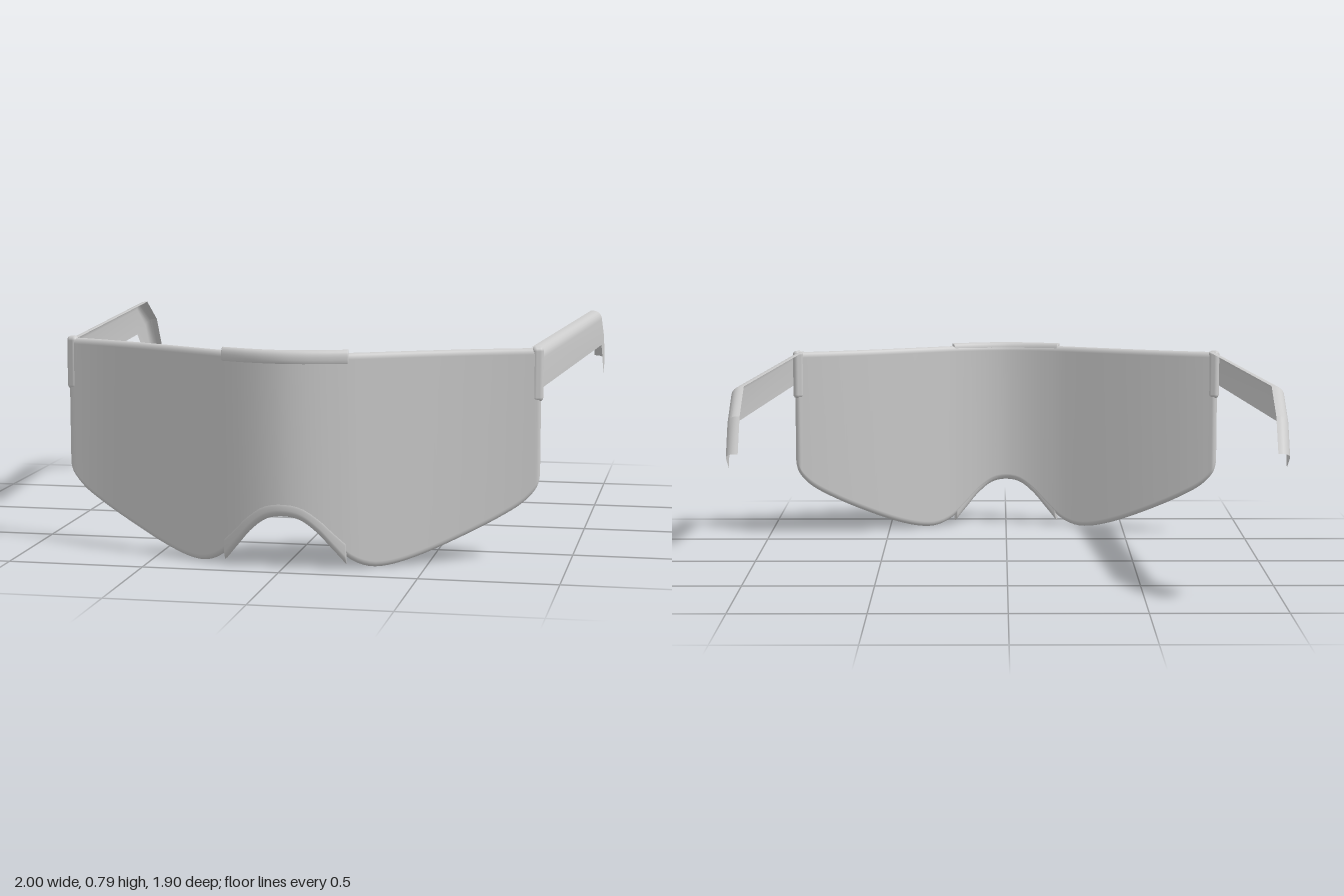
import * as THREE from 'three';
import { toCreasedNormals } from 'three/addons/utils/BufferGeometryUtils.js';
import { RoundedBoxGeometry } from 'three/addons/geometries/RoundedBoxGeometry.js';

const material = new THREE.MeshStandardMaterial({ color: 0xcccccc, side: THREE.DoubleSide });

// Half of the lens, from nose to temple: x, lower edge height, middle depth
const half = [
  [0, 0.195, 0.926], [0.06, 0.185, 0.921], [0.12, 0.145, 0.908], [0.18, 0.085, 0.889],
  [0.24, 0.03, 0.866], [0.3, 0.004, 0.838], [0.36, 0.004, 0.809], [0.46, 0.031, 0.761],
  [0.6, 0.09, 0.698], [0.74, 0.16, 0.643], [0.82, 0.21, 0.616], [0.86, 0.25, 0.604],
  [0.875, 0.275, 0.599], [0.884, 0.31, 0.595],
].map((p) => new THREE.Vector3(...p));
const mirrored = half.slice(1).reverse().map((p) => new THREE.Vector3(-p.x, p.y, p.z));
const lensCurve = new THREE.CatmullRomCurve3([...mirrored, ...half]);

// Point on the lens curve at a given x
function lensAt(x) {
  let lo = 0, hi = 1;
  for (let i = 0; i < 24; i++) {
    const mid = (lo + hi) / 2;
    if (lensCurve.getPoint(mid).x < x) lo = mid; else hi = mid;
  }
  return lensCurve.getPoint(lo);
}

// Skin over rows of cross-section points, optionally closed around and capped
function skin(rows, closed) {
  const n = rows[0].length, index = [];
  for (let i = 0; i < rows.length - 1; i++) {
    for (let j = 0; j < (closed ? n : n - 1); j++) {
      const a = i * n + j, b = i * n + (j + 1) % n;
      index.push(a, a + n, b, b, a + n, b + n);
    }
  }
  if (closed) {
    const last = (rows.length - 1) * n;
    for (let j = 1; j < n - 1; j++) {
      index.push(0, j, j + 1, last, last + j + 1, last + j);
    }
  }
  const geometry = new THREE.BufferGeometry().setFromPoints(rows.flat());
  geometry.setIndex(index);
  geometry.computeVertexNormals();
  return geometry;
}

// Curved plate with soft rims that follows the lens between -width and width,
// moved forward along its normal by offset; thickest at the nose
function plate({ width, bottom, top, offset, taper, rim }) {
  const rows = [], steps = 128, arc = 8;
  for (let i = 0; i <= steps; i++) {
    const x = width * Math.sin((i / steps - 0.5) * Math.PI);
    const p = lensAt(x);
    const ahead = lensAt(Math.min(x + 0.004, 0.884)), behind = lensAt(Math.max(x - 0.004, -0.884));
    const normal = new THREE.Vector3(behind.z - ahead.z, 0, ahead.x - behind.x).normalize();
    const k = Math.max(0, (Math.abs(x) - width + taper) / taper);
    const radius = 0.0155 + 0.0045 * Math.exp(-x * x * 40);
    const r = radius * Math.max(0.2, Math.sqrt(Math.max(0, 1 - k * k)));
    const row = [];
    for (let side = 0; side < 2; side++) {
      const y = side ? bottom(p) + rim : top(p) - rim;
      for (let j = 0; j <= arc; j++) {
        const a = (side + j / arc) * Math.PI;
        row.push(new THREE.Vector3(x, y + rim * Math.sin(a), p.z)
          .addScaledVector(normal, offset + r * Math.cos(a)));
      }
    }
    rows.push(row);
  }
  return skin(rows, true);
}

// Arm: a thin open channel with a top strip, rounded shoulder and outer wall
function armGeometry(side) {
  // z and y of the upper edge, then of the lower edge
  const stations = [
    [0.6, 0.78, 0.6, 0.637], [-0.72, 0.78, -0.72, 0.637],
    [-0.87, 0.69, -0.8, 0.567], [-0.95, 0.565, -0.83, 0.497],
  ];
  const radius = 0.036;
  const rows = stations.map(([tz, ty, bz, by]) => {
    const outer = Math.min(1, 0.893 + (0.6 - tz) * 0.081);
    const down = new THREE.Vector3(0, by - ty, bz - tz);
    const length = down.length();
    down.normalize();
    const at = (x, d) => new THREE.Vector3(side * x, ty, tz).addScaledVector(down, d);
    const row = [at(outer - 0.046, 0)];
    for (let j = 0; j <= 6; j++) {
      const a = j / 6 * Math.PI / 2;
      row.push(at(outer - radius * (1 - Math.sin(a)), radius * (1 - Math.cos(a))));
    }
    row.push(at(outer, length));
    return row;
  });
  if (side > 0) rows.reverse();
  // Enlarged while creasing, so that the small shoulder keeps its detail
  const scale = 100;
  const geometry = skin(rows, false).scale(scale, scale, scale);
  return toCreasedNormals(geometry, 0.4).scale(1 / scale, 1 / scale, 1 / scale);
}

export function createModel() {
  const group = new THREE.Group();
  const add = (name, geometry) => {
    const mesh = new THREE.Mesh(geometry, material);
    mesh.name = name;
    group.add(mesh);
    return mesh;
  };

  // Wraparound shield
  add('lens', plate({
    width: 0.884, bottom: (p) => p.y, top: () => 0.778, offset: 0, taper: 0.015, rim: 0.022,
  }));

  // Reinforcement above the nose, nearly flush with the lens
  add('browCap', plate({
    width: 0.228, bottom: () => 0.73, top: () => 0.79, offset: 0.003, taper: 0.006, rim: 0.025,
  }));

  // Nose bridge lining the cutout, with its ends dipping below the lens edge
  add('nosePiece', plate({
    width: 0.222, bottom: (p) => p.y - 0.003 - 0.5 * p.x ** 2, top: (p) => p.y + 0.06,
    offset: 0.001, taper: 0.006, rim: 0.025,
  }));

  // Hinges and arms
  for (const [side, label] of [[1, 'left'], [-1, 'right']]) {
    const hinge = add(label + 'Hinge', new RoundedBoxGeometry(0.044, 0.2, 0.036, 4, 0.016));
    hinge.position.set(side * 0.871, 0.684, 0.6);
    hinge.rotation.y = side * 0.3;
    add(label + 'Arm', armGeometry(side));
  }
  return group;
}
